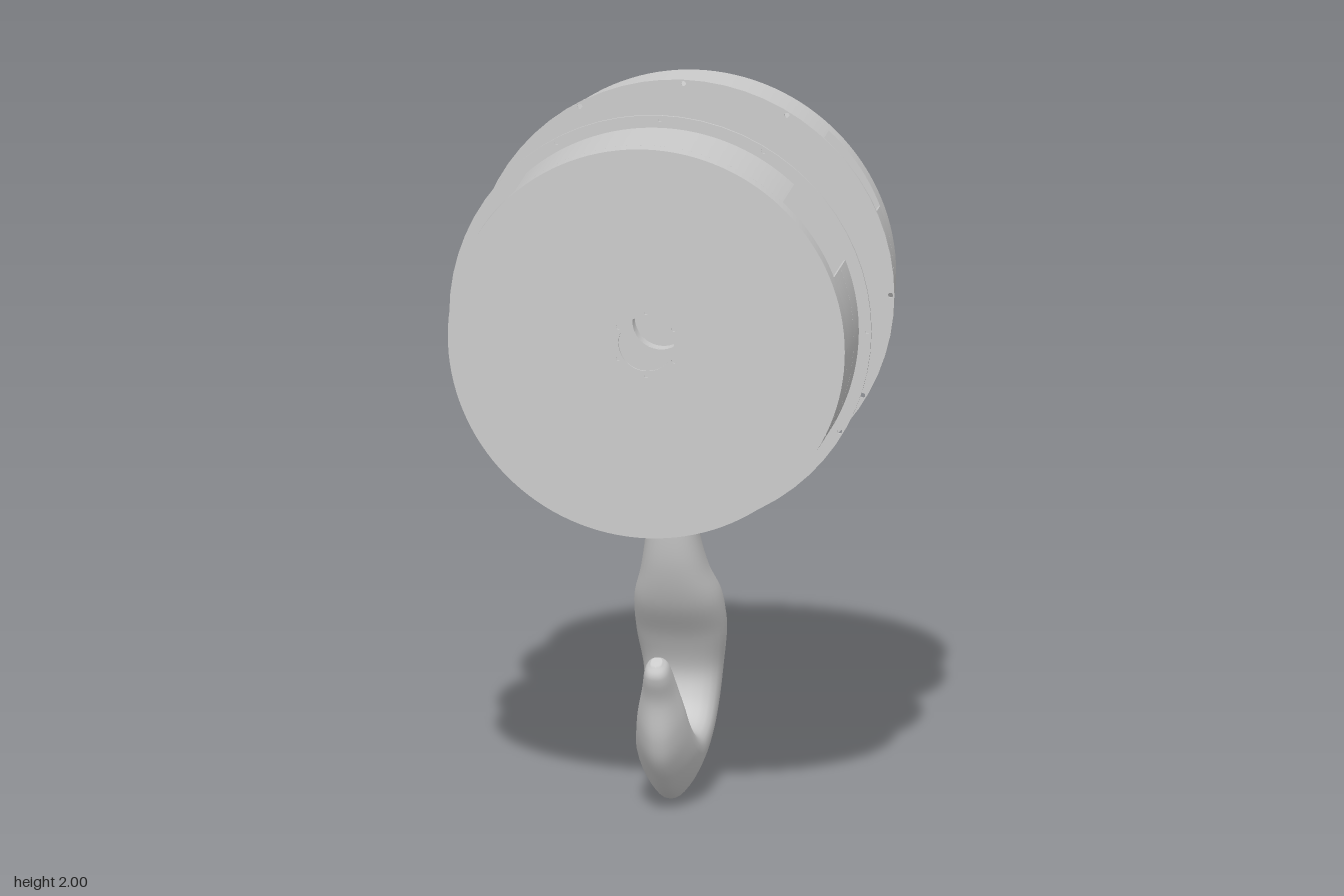
import * as THREE from 'three';
import { toCreasedNormals } from 'three/addons/utils/BufferGeometryUtils.js';

const CY = 1.415;      // height of the sheave axis
const R = 0.555;       // drum radius
const FLANGE_R = 0.59;
const BORE = 0.078;
const rad = THREE.MathUtils.degToRad;
const material = new THREE.MeshStandardMaterial({ color: 0xcccccc, side: THREE.DoubleSide });

function add(parent, name, geometry) {
  const mesh = new THREE.Mesh(geometry, material);
  mesh.name = name;
  parent.add(mesh);
  return mesh;
}

// Extrude a shape drawn around the sheave axis from z0 to z1
function slab(shape, z0, z1, curveSegments = 24) {
  const g = new THREE.ExtrudeGeometry(shape, { depth: z1 - z0, bevelEnabled: false, curveSegments });
  g.translate(0, CY, z0);
  return toCreasedNormals(g, 0.5);
}

function hole(x, y, r) {
  const p = new THREE.Path();
  p.absarc(x, y, r, 0, Math.PI * 2, true);
  return p;
}

// Round plate with central bore and a ring of bolt holes
function disc(r, boltR, angles) {
  const s = new THREE.Shape();
  s.absarc(0, 0, r, 0, Math.PI * 2, false);
  s.holes.push(hole(0, 0, BORE));
  for (const a of angles) s.holes.push(hole(boltR * Math.cos(rad(a)), boltR * Math.sin(rad(a)), 0.007));
  return s;
}

// Sector of the thin drum wall, angles in degrees
function wallSector(a0, a1) {
  const s = new THREE.Shape();
  s.absarc(0, 0, R, rad(a0), rad(a1), false);
  s.absarc(0, 0, R - 0.006, rad(a1), rad(a0), true);
  return s;
}

function createDrum() {
  const drum = new THREE.Group();
  // Bands of wall leave two rope windows and a slot underneath
  const bands = [
    [0.195, 0.28, [[47.6, 132.4], [158.8, 253.3], [286.7, 381.2]]],
    [0.28, 0.385, [[47.6, 132.4], [158.8, 381.2]]],
    [0.385, 0.43, [[0, 180], [180, 360]]],
  ];
  for (const [z0, z1, arcs] of bands)
    for (const [a0, a1] of arcs) add(drum, 'drumWall', slab(wallSector(a0, a1), z0, z1, 32));
  const hubBolts = [30, 90, 150, 210, 270, 330];
  add(drum, 'drumCover', slab(disc(R, 0.09, hubBolts), 0.425, 0.43, 32));
  const rimBolts = [0, 60, 90, 120, 180, 210, 240, 270, 300, 330];
  add(drum, 'drumFlange', slab(disc(FLANGE_R, 0.579, rimBolts), 0.19, 0.196, 32));

  // Narrow cheek plate with an arched foot
  const w = 0.156;
  const a = Math.asin(w / 0.585);
  const cheek = new THREE.Shape();
  cheek.moveTo(w, 0.3);
  cheek.lineTo(-w, 0.3);
  cheek.absarc(0, 0, 0.585, -Math.PI / 2 - a, -Math.PI / 2 + a, false);
  cheek.closePath();
  cheek.holes.push(hole(0, 0, BORE));
  add(drum, 'cheekPlate', slab(cheek, 0.157, 0.19));
  return drum;
}

// Hook lofted through stations: inner z,y / outer z,y / half width, taper
function hookGeometry() {
  const stations = [
    [0.074, 0.88, -0.074, 0.88, 0.07, 0],
    [0.066, 0.77, -0.083, 0.77, 0.073, 0],
    [0.044, 0.66, -0.15, 0.655, 0.092, 0.03],
    [0.0, 0.55, -0.24, 0.572, 0.119, 0.1],
    [-0.073, 0.44, -0.325, 0.47, 0.121, 0.2],
    [-0.115, 0.34, -0.36, 0.34, 0.105, 0.28],
    [-0.102, 0.27, -0.325, 0.185, 0.095, 0.35],
    [-0.06, 0.227, -0.21, 0.057, 0.088, 0.42],
    [0.0, 0.213, -0.03, 0.003, 0.083, 0.45],
    [0.06, 0.228, 0.105, 0.044, 0.078, 0.45],
    [0.112, 0.272, 0.2, 0.138, 0.07, 0.4],
    [0.148, 0.335, 0.24, 0.225, 0.062, 0.3],
    [0.175, 0.395, 0.257, 0.335, 0.048, 0.15],
    [0.2, 0.445, 0.284, 0.4, 0.038, 0],
    [0.22, 0.463, 0.29, 0.428, 0.03, 0],
    [0.243, 0.47, 0.28, 0.453, 0.015, 0],
  ];
  const track = (f) => new THREE.CatmullRomCurve3(stations.map(f), false, 'catmullrom', 0.5);
  const inner = track((s) => new THREE.Vector3(0, s[1], s[0]));
  const outer = track((s) => new THREE.Vector3(0, s[3], s[2]));
  const size = track((s) => new THREE.Vector3(s[4], s[5], 0));
  const rows = 90, n = 28, pos = [], idx = [];
  const soft = (v) => Math.sign(v) * Math.abs(v) ** 0.85;
  for (let i = 0; i <= rows; i++) {
    const p = inner.getPoint(i / rows), q = outer.getPoint(i / rows), s = size.getPoint(i / rows);
    for (let j = 0; j < n; j++) {
      const a = (j / n) * Math.PI * 2, c = soft(Math.cos(a));
      const v = p.clone().lerp(q, (1 + c) / 2);
      pos.push(s.x * soft(Math.sin(a)) * (1 - s.y * c), v.y, v.z);
    }
  }
  for (let i = 0; i < rows; i++)
    for (let j = 0; j < n; j++) {
      const a = i * n + j, b = i * n + (j + 1) % n;
      idx.push(a, b, a + n, b, b + n, a + n);
    }
  // End caps
  const last = rows * n;
  for (let j = 1; j < n - 1; j++) {
    idx.push(0, j + 1, j);
    idx.push(last, last + j, last + j + 1);
  }
  const g = new THREE.BufferGeometry();
  g.setAttribute('position', new THREE.Float32BufferAttribute(pos, 3));
  g.setIndex(idx);
  g.computeVertexNormals();
  return g;
}

export function createModel() {
  const model = new THREE.Group();
  model.name = 'hookBlock';

  // Two identical drums, back to back
  for (const [name, turn] of [['frontDrum', 0], ['rearDrum', Math.PI]]) {
    const drum = createDrum();
    drum.name = name;
    drum.rotation.y = turn;
    model.add(drum);
  }

  // Block between the cheeks, carrying the hook
  add(model, 'crosshead', new THREE.BoxGeometry(0.312, 0.317, 0.314)).position.y = 1.0215;

  // Tie rod above the axis
  const rod = add(model, 'tieRod', new THREE.CylinderGeometry(0.023, 0.023, 0.316, 24));
  rod.rotation.x = Math.PI / 2;
  rod.position.y = 1.638;

  add(model, 'hook', hookGeometry());
  return model;
}
